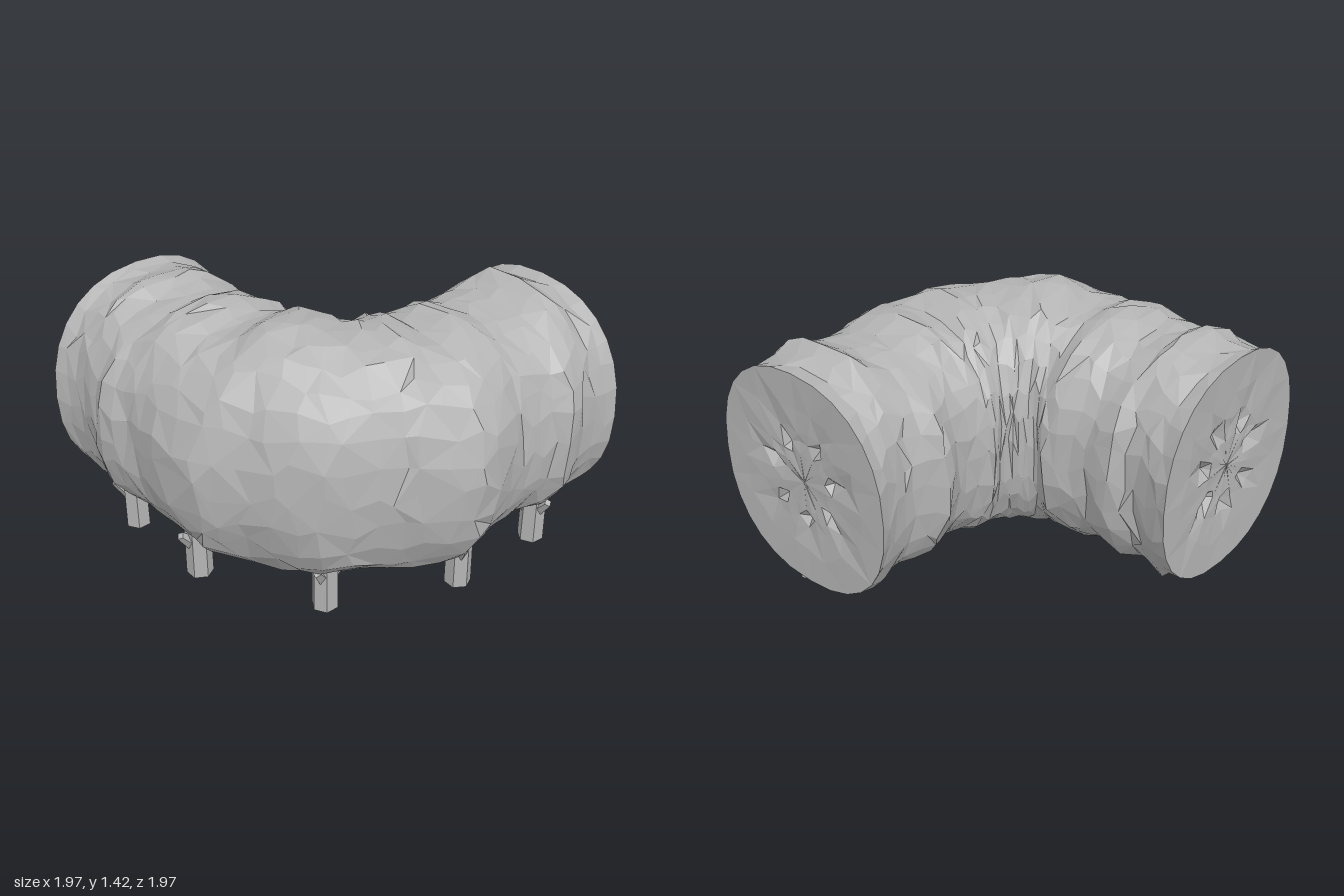
import * as THREE from 'three';

const C = 0.42;          // centre line offset of both arms
const R = 0.7;           // bend radius of the centre line
const K = C - R;         // bend centre (x = z = K)
const STRAIGHT = K + 1;  // length of each straight arm
const ARC = R * Math.PI / 2;
const LENGTH = 2 * STRAIGHT + ARC;
const MID_Y = 0.77;
const SIDES = 28, STEPS = 36;

// Folds along the body as [distance, value]: reach to the outside and inside
// of the bend, and the heights of the top and the underside
const OUTER = [[0, 0.53], [0.1, 0.5], [0.25, 0.5], [0.45, 0.56], [0.58, 0.5], [0.7, 0.51], [0.92, 0.55],
  [1.05, 0.48], [1.14, 0.49], [1.25, 0.51], [1.4, 0.49], [1.5, 0.47], [1.71, 0.57], [1.84, 0.5], [1.94, 0.48],
  [2.09, 0.5], [2.2, 0.57], [2.32, 0.51], [2.42, 0.5], [LENGTH, 0.53]];
const INNER = [[0, 0.54], [0.15, 0.49], [0.25, 0.45], [0.35, 0.52], [0.5, 0.48], [0.6, 0.5], [0.72, 0.54],
  [0.96, 0.47], [1.27, 0.48], [1.46, 0.49], [1.69, 0.54], [1.94, 0.46], [2.1, 0.54], [2.29, 0.46],
  [2.41, 0.49], [LENGTH, 0.54]];
const TOP = [[0, 1.35], [0.1, 1.32], [0.25, 1.39], [0.37, 1.33], [0.5, 1.33], [0.57, 1.38], [0.7, 1.38],
  [0.8, 1.34], [0.92, 1.36], [1.02, 1.43], [1.2, 1.4], [1.4, 1.37], [1.55, 1.39], [1.7, 1.34], [1.87, 1.38],
  [1.99, 1.33], [2.2, 1.34], [2.32, 1.41], [2.44, 1.33], [LENGTH, 1.35]];
const BOTTOM = [[0, 0.21], [0.13, 0.14], [0.25, 0.2], [0.38, 0.16], [0.46, 0.21], [0.6, 0.16], [0.75, 0.18],
  [1, 0.15], [1.2, 0.14], [1.4, 0.16], [1.6, 0.13], [1.84, 0.18], [2, 0.2], [2.2, 0.2], [2.4, 0.16], [LENGTH, 0.21]];

function sample(table, s) {
  const i = Math.max(1, table.findIndex(p => p[0] >= s));
  const [s0, v0] = table[i - 1], [s1, v1] = table[i];
  return v0 + (v1 - v0) * (s - s0) / (s1 - s0);
}

function seeded(seed) {
  return () => {
    seed = (seed * 16807) % 2147483647;
    return seed / 2147483647 * 2 - 1;
  };
}

// Centre line point and outward direction at arc length s
function frame(s) {
  if (s < STRAIGHT) return { x: -1 + s, z: C, nx: 0, nz: 1 };
  if (s > STRAIGHT + ARC) return { x: C, z: K - (s - STRAIGHT - ARC), nx: 1, nz: 0 };
  const a = (s - STRAIGHT) / R;
  return { x: K + R * Math.sin(a), z: K + R * Math.cos(a), nx: Math.sin(a), nz: Math.cos(a) };
}

// Point on a rounded oval section: angle 0 faces the outside of the bend
function sectionPoint(s, angle, scale) {
  const f = frame(s);
  const soft = v => Math.sign(v) * Math.pow(Math.abs(v), 0.87) * scale;
  const c = Math.cos(angle), v = Math.sin(angle);
  const o = soft(c) * sample(c > 0 ? OUTER : INNER, s);
  const h = v > 0 ? sample(TOP, s) - MID_Y : MID_Y - sample(BOTTOM, s);
  return new THREE.Vector3(f.x + f.nx * o, MID_Y + soft(v) * h, f.z + f.nz * o);
}

// Faceted skin between closed rings of points
function skin(rings) {
  const pos = [];
  const tri = (a, b, c) => [a, b, c].forEach(p => pos.push(p.x, p.y, p.z));
  for (let i = 0; i < rings.length - 1; i++) {
    for (let j = 0; j < SIDES; j++) {
      const k = (j + 1) % SIDES;
      const a = rings[i][j], b = rings[i + 1][j], c = rings[i + 1][k], d = rings[i][k];
      if ((i + j) % 2) { tri(a, b, c); tri(a, c, d); }
      else { tri(a, b, d); tri(b, c, d); }
    }
  }
  const g = new THREE.BufferGeometry();
  g.setAttribute('position', new THREE.Float32BufferAttribute(pos, 3));
  g.computeVertexNormals();
  return g;
}

// Lumpy rings along the body, flat at both ends
function bodyRings() {
  const rand = seeded(4711), rings = [];
  for (let i = 0; i <= STEPS; i++) {
    const loose = i === 0 || i === STEPS ? 0 : 1;
    const ring = [];
    for (let j = 0; j < SIDES; j++) {
      const angle = (j + loose * rand() * 0.3) / SIDES * Math.PI * 2;
      const s = LENGTH * (i + loose * rand() * 0.35) / STEPS;
      ring.push(sectionPoint(s, angle, 1 + loose * rand() * 0.018));
    }
    rings.push(ring);
  }
  return rings;
}

// Cut face fanning in to a shallow ring of radial slots, centre first
function endRings(s, inward, outer) {
  const rand = seeded(99), rings = [];
  for (const [scale, depth, slot] of [[0, 0.02, 0], [0.27, 0.015, 0.005], [0.36, 0.015, 0.04], [0.5, 0.01, 0.012], [0.72, 0.004, 0.004]]) {
    const ring = [];
    for (let j = 0; j < SIDES; j++) {
      const angle = j / SIDES * Math.PI * 2;
      const p = sectionPoint(s, angle, scale * (1 + rand() * 0.1));
      const d = inward * (depth + (j % 4 === 1 ? slot : 0) + rand() * 0.004);
      const f = frame(s);
      p.x += f.nz * d;
      p.z -= f.nx * d;
      ring.push(p);
    }
    rings.push(ring);
  }
  rings.push(outer);
  return rings;
}

// Six-sided stump with small roots branching into the body
function makeLeg(x, z, turn, material) {
  const leg = new THREE.Group();
  leg.name = 'leg';
  const flat = g => { const n = g.toNonIndexed(); n.computeVertexNormals(); return n; };
  const stump = new THREE.Mesh(flat(new THREE.CylinderGeometry(0.066, 0.068, 0.3, 6)), material);
  stump.name = 'stump';
  stump.position.y = 0.15;
  leg.add(stump);
  for (let i = 0; i < 3; i++) {
    const pivot = new THREE.Group();
    pivot.rotation.y = i * Math.PI * 2 / 3;
    const root = new THREE.Mesh(flat(new THREE.CylinderGeometry(0.022, 0.035, 0.13, 4)), material);
    root.name = 'legRoot';
    root.position.set(0.06, 0.22, 0);
    root.rotation.z = -0.7;
    pivot.add(root);
    leg.add(pivot);
  }
  leg.position.set(x, 0, z);
  leg.rotation.y = turn;
  return leg;
}

export function createModel() {
  const model = new THREE.Group();
  model.name = 'curvedBody';
  const grey = new THREE.MeshStandardMaterial({ color: 0xb4b4b4 });
  grey.name = 'grey';
  const add = (name, rings) => {
    const mesh = new THREE.Mesh(skin(rings), grey);
    mesh.name = name;
    model.add(mesh);
  };

  // Body and its two cut ends
  const rings = bodyRings();
  add('body', rings);
  add('rightEnd', endRings(0, 1, rings[0]));
  add('backEnd', endRings(LENGTH, -1, rings[STEPS]).reverse());

  // Legs along the outside of the bend
  const spots = [[-0.77, 0.69], [-0.225, 0.69], [0.385, 0.39], [0.685, -0.225], [0.685, -0.77]];
  spots.forEach(([x, z], i) => model.add(makeLeg(x, z, i * 0.5, grey)));
  return model;
}
